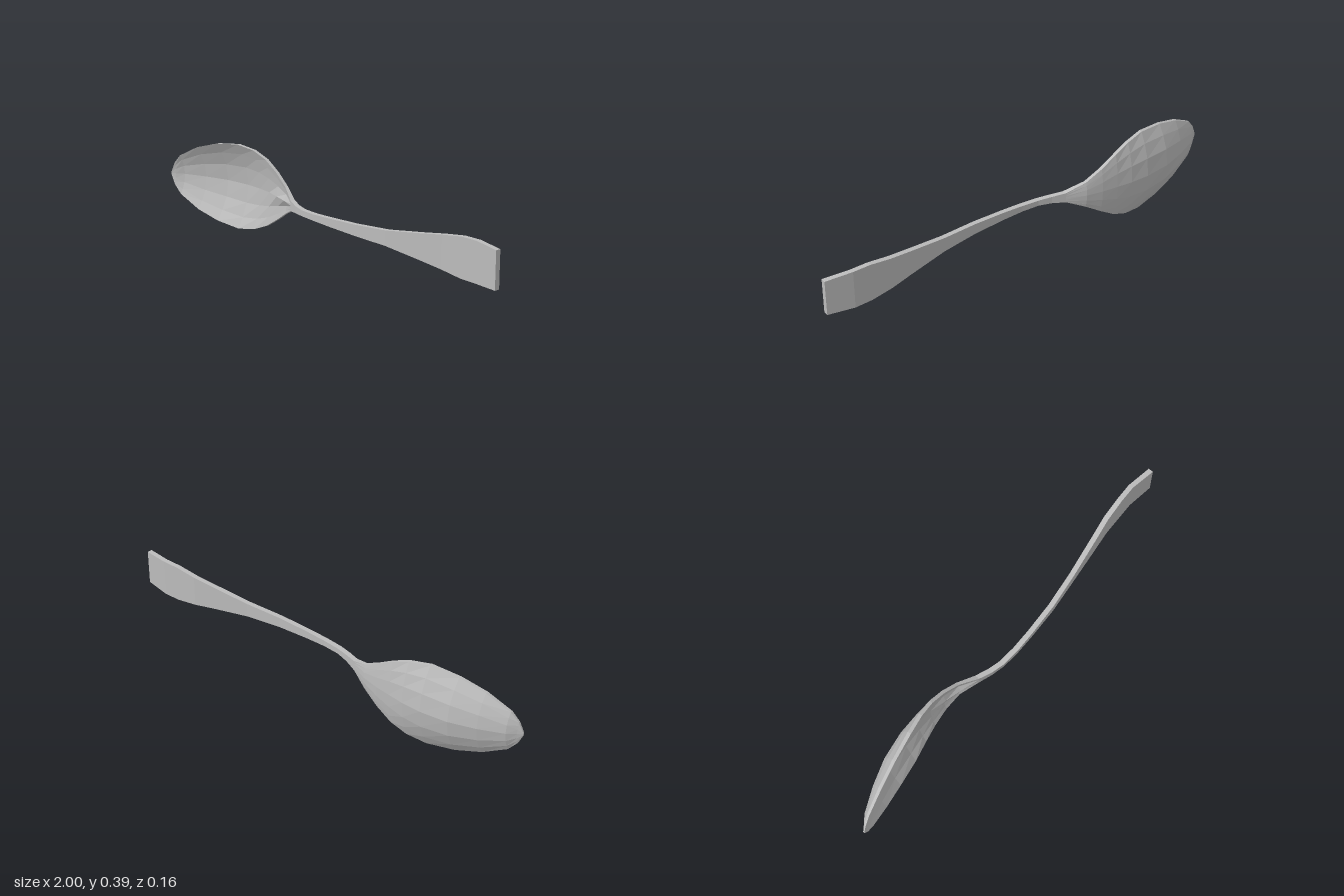
import * as THREE from 'three';

const CENTRE_Y = 0.197;
// Points across the width, from one rim to the other
const ACROSS = [-1, -0.75, -0.42, 0, 0.42, 0.75, 1];

// Stations along the spoon: x, half width, rim front z, hollow depth, thickness, centre ridge
const BOWL = [
  [-1, 0.006, 0.08, 0, 0.006, 0],
  [-0.98, 0.052, 0.076, 0.008, 0.008, 0],
  [-0.945, 0.093, 0.068, 0.026, 0.011, 0],
  [-0.84, 0.148, 0.045, 0.05, 0.014, 0],
  [-0.725, 0.182, 0.02, 0.065, 0.015, 0],
  [-0.6, 0.197, -0.005, 0.058, 0.016, 0],
  [-0.51, 0.183, -0.025, 0.038, 0.016, 0],
  [-0.435, 0.153, -0.036, 0.02, 0.016, 0],
  [-0.36, 0.108, -0.037, 0.012, 0.015, 0.012],
  [-0.285, 0.062, -0.026, 0.008, 0.015, 0.016],
  [-0.2, 0.023, 0.012, 0, 0.022, 0],
];
const HANDLE = [
  [-0.2, 0.023, 0.012, 0, 0.022, 0],
  [-0.14, 0.016, 0.034, 0, 0.023, 0],
  [-0.08, 0.013, 0.048, 0, 0.023, 0],
  [0, 0.014, 0.053, 0, 0.023, 0],
  [0.1, 0.018, 0.051, 0, 0.022, 0],
  [0.25, 0.024, 0.043, 0, 0.022, 0],
  [0.42, 0.033, 0.021, 0, 0.022, 0],
  [0.6, 0.057, -0.006, 0, 0.023, 0],
  [0.7, 0.072, -0.022, 0, 0.023, 0],
  [0.8, 0.086, -0.029, 0, 0.022, 0],
  [0.88, 0.087, -0.032, 0, 0.022, 0],
  [1, 0.081, -0.015, 0, 0.023, 0],
];

// Closed loop of points around one station: front face upward, back face downward
function section([x, w, rim, depth, thick, ridge]) {
  const front = [], back = [];
  for (const t of ACROSS) {
    const y = CENTRE_Y + t * w;
    const z = rim - depth * (1 - t * t);
    front.push([x, y, z + (t === 0 ? ridge : 0)]);
    back.unshift([x, y, z - thick]);
  }
  return [...front, ...back];
}

// Skin the stations, closing the start or the end
function loft(stations, capStart, capEnd) {
  const n = ACROSS.length * 2;
  const index = [];
  for (let i = 0; i < stations.length - 1; i++) {
    for (let j = 0; j < n; j++) {
      const a = i * n + j, b = i * n + (j + 1) % n;
      const c = b + n, d = a + n;
      index.push(a, d, c, a, c, b);
    }
  }
  const last = (stations.length - 1) * n;
  for (let j = 0; j < ACROSS.length - 1; j++) {
    const f0 = j, f1 = j + 1, b0 = n - 1 - j, b1 = n - 2 - j;
    if (capStart) index.push(f0, f1, b1, f0, b1, b0);
    if (capEnd) index.push(last + f0, last + b1, last + f1, last + f0, last + b0, last + b1);
  }
  const geometry = new THREE.BufferGeometry();
  geometry.setAttribute('position', new THREE.Float32BufferAttribute(stations.flatMap(section).flat(), 3));
  geometry.setIndex(index);
  const flat = geometry.toNonIndexed();
  flat.computeVertexNormals();
  return flat;
}

export function createModel() {
  const model = new THREE.Group();
  model.name = 'spoon';
  const metal = new THREE.MeshStandardMaterial({ color: 0xbcbcbc });
  metal.name = 'greyMetal';
  metal.flatShading = true;

  // Hollow oval bowl with a ridge where the stem runs in
  const bowl = new THREE.Mesh(loft(BOWL, true, false), metal);
  bowl.name = 'bowl';

  // Curved stem widening to a flat, squared end
  const handle = new THREE.Mesh(loft(HANDLE, false, true), metal);
  handle.name = 'handle';

  model.add(bowl, handle);
  return model;
}
